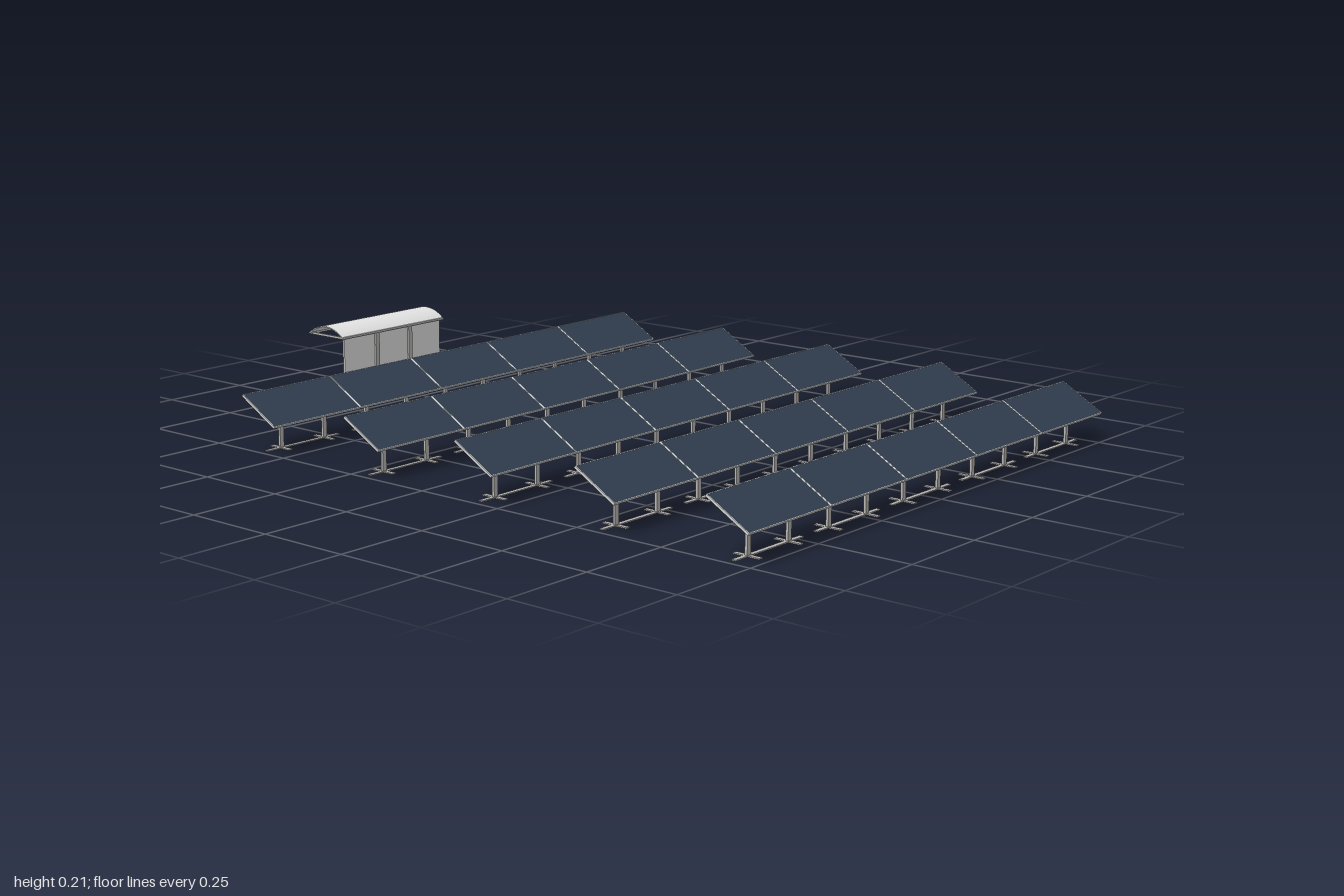
import * as THREE from 'three';
import { toCreasedNormals } from 'three/addons/utils/BufferGeometryUtils.js';

const material = (name, color) => {
  const m = new THREE.MeshStandardMaterial({ color });
  m.name = name;
  return m;
};

export function createModel() {
  const glass = material('navy glass', 0x303e4e);
  const frame = material('pale frame', 0xd8d8d6);
  const backing = material('grey backing', 0xd4d4d4);
  const steel = material('post steel', 0xb8b6b3);
  const sheet = material('light sheet', 0xe4e4e4);
  const dark = material('dark display', 0x3a3a3a);

  const box = (parent, name, mat, size, pos) => {
    const mesh = new THREE.Mesh(new THREE.BoxGeometry(...size), mat);
    mesh.name = name;
    mesh.position.set(...pos);
    parent.add(mesh);
    return mesh;
  };
  const model = new THREE.Group();
  model.name = 'solarField';

  // One table: tilted panel, two posts and crossed feet
  const pitch = 0.303;
  function makeTable() {
    const table = new THREE.Group();
    table.name = 'panelTable';

    const panel = new THREE.Group();
    panel.name = 'tiltedPanel';
    panel.position.y = 0.11;
    panel.rotation.x = Math.PI / 6;
    table.add(panel);
    box(panel, 'panelBacking', backing, [0.3, 0.004, 0.134], [0, 0, 0]);
    box(panel, 'panelGlass', glass, [0.298, 0.002, 0.133], [0, 0.0025, 0]);
    box(panel, 'crossRail', steel, [0.16, 0.004, 0.005], [0, -0.004, 0]);
    for (const s of [-1, 1]) {
      box(panel, 'sideFrame', frame, [0.0025, 0.006, 0.136], [s * 0.15, 0.0008, 0]);
      box(panel, 'edgeFrame', frame, [0.302, 0.006, 0.002], [0, 0.0008, s * 0.0675]);
      box(panel, 'slopedRail', steel, [0.006, 0.004, 0.08], [s * 0.075, -0.004, 0]);
    }
    for (const s of [-1, 1]) {
      box(table, 'post', steel, [0.013, 0.102, 0.007], [s * 0.075, 0.053, 0]);
      box(table, 'crossFoot', steel, [0.012, 0.003, 0.074], [s * 0.075, 0.0015, 0]);
    }
    box(table, 'longFoot', steel, [0.25, 0.003, 0.012], [0, 0.002, 0]);
    return table;
  }

  // Five rows of five tables
  for (let r = 0; r < 5; r++) {
    const row = new THREE.Group();
    row.name = 'panelRow';
    row.position.z = 0.94 - r * 0.381;
    for (let i = -2; i <= 2; i++) {
      const table = makeTable();
      table.position.x = i * pitch;
      row.add(table);
    }
    model.add(row);
  }

  // Equipment shelter behind the rows
  const shelter = new THREE.Group();
  shelter.name = 'equipmentShelter';
  model.add(shelter);
  for (let i = -1; i <= 1; i++) {
    const x = i * 0.126;
    box(shelter, 'wallPanel', sheet, [0.126, 0.162, 0.006], [x, 0.097, -0.87]);
    box(shelter, 'inverterCabinet', sheet, [0.075, 0.062, 0.012], [x, 0.1, -0.879]);
    box(shelter, 'inverterDisplay', dark, [0.022, 0.012, 0.002], [x, 0.107, -0.8855]);
  }
  for (const s of [-1, 1]) {
    box(shelter, 'shelterPost', steel, [0.014, 0.178, 0.014], [s * 0.065, 0.089, -0.868]);
    for (const x of [0.065, 0.19])
      box(shelter, 'roofArm', steel, [0.006, 0.006, 0.136], [s * x, 0.179, -0.93]);
  }
  box(shelter, 'frontBeam', sheet, [0.396, 0.007, 0.005], [0, 0.18, -0.864]);
  box(shelter, 'rearBeam', sheet, [0.396, 0.005, 0.005], [0, 0.18, -0.995]);

  // Arched sheet roof
  const R = 0.104, half = 0.74, t = 0.003;
  const arch = new THREE.Shape();
  arch.absarc(0, 0, R, Math.PI / 2 - half, Math.PI / 2 + half, false);
  arch.absarc(0, 0, R - t, Math.PI / 2 + half, Math.PI / 2 - half, true);
  arch.closePath();
  const roofGeometry = new THREE.ExtrudeGeometry(arch, { depth: 0.4, bevelEnabled: false, curveSegments: 16 });
  roofGeometry.translate(0, 0, -0.2).rotateY(Math.PI / 2);
  const roof = new THREE.Mesh(toCreasedNormals(roofGeometry, 0.5), sheet);
  roof.name = 'archedRoof';
  roof.position.set(0, 0.207 - R, -0.93);
  shelter.add(roof);

  return model;
}
